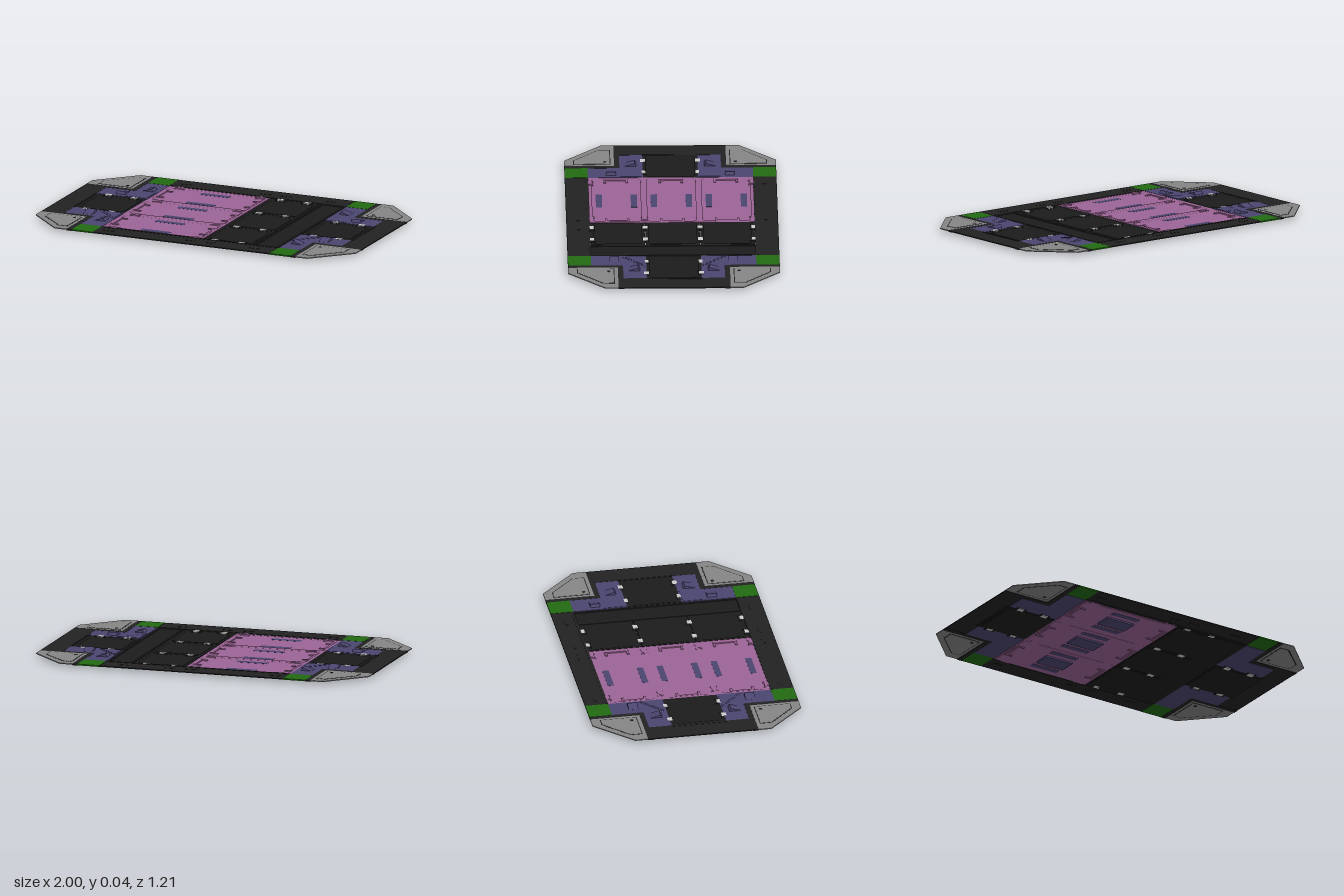
import * as THREE from 'three';

const C = { dark: 0x222222, pan: 0x1c1c1c, pink: 0x9c6496, purple: 0x4b4570, green: 0x226a12, grey: 0x858585, clip: 0xcccccc };
const mats = {};
const mat = (name) => (mats[name] ??= new THREE.MeshStandardMaterial({ color: C[name], flatShading: true }));

export function createModel() {
  const root = new THREE.Group();
  root.name = 'floorPanel';

  const add = (geo, color, name) => {
    const mesh = new THREE.Mesh(geo, mat(color));
    mesh.name = name;
    root.add(mesh);
    return mesh;
  };
  const box = (name, color, x0, x1, y0, y1, z0, z1) => {
    const m = add(new THREE.BoxGeometry(Math.abs(x1 - x0), y1 - y0, Math.abs(z1 - z0)), color, name);
    m.position.set((x0 + x1) / 2, (y0 + y1) / 2, (z0 + z1) / 2);
    return m;
  };
  // Flat slab from an outline of [x, z] points, with optional holes
  const toPts = (pts) => pts.map(([x, z]) => new THREE.Vector2(x, -z));
  const slab = (name, color, pts, y0, y1, holes = []) => {
    const shape = new THREE.Shape(toPts(pts));
    holes.forEach((h) => shape.holes.push(new THREE.Path(toPts(h))));
    const geo = new THREE.ExtrudeGeometry(shape, { depth: y1 - y0, bevelEnabled: false });
    geo.rotateX(-Math.PI / 2).translate(0, y0, 0);
    return add(geo, color, name);
  };
  const rect = (x0, x1, z0, z1) => [[x0, z0], [x1, z0], [x1, z1], [x0, z1]];
  // Rectangle with cut corners
  const cutRect = (x0, x1, z0, z1, c) => [
    [x0 + c, z0], [x1 - c, z0], [x1, z0 + c], [x1, z1 - c],
    [x1 - c, z1], [x0 + c, z1], [x0, z1 - c], [x0, z0 + c]];
  // Shallow tray: rim, sloped inner wall and sunken floor
  const tray = (name, color, x0, x1, z0, z1) => {
    const r = 0.018, s = 0.008;
    slab(name + 'Rim', color, rect(x0, x1, z0, z1), 0.01, 0.02,
      [cutRect(x0 + r, x1 - r, z0 + r, z1 - r, 0.015)]);
    slab(name + 'Step', color, rect(x0 + 0.005, x1 - 0.005, z0 + 0.005, z1 - 0.005), 0.01, 0.0165,
      [cutRect(x0 + r + s, x1 - r - s, z0 + r + s, z1 - r - s, 0.015)]);
    box(name + 'Floor', color, x0 + 0.01, x1 - 0.01, 0.009, 0.014, z0 + 0.01, z1 - 0.01);
  };
  // Snap clip bridging a seam
  const clip = (color, x, z) => {
    box('clip', color, x - 0.019, x + 0.019, 0.009, 0.0225, z - 0.014, z + 0.014);
    for (const s of [-1, 1]) box('clipFoot', color === 'clip' ? 'dark' : color, x + s * 0.019, x + s * 0.03, 0.009, 0.021, z - 0.019, z + 0.019);
  };

  const rows = [-0.314, 0, 0.314], seams = [-0.47, -0.157, 0.157, 0.47];

  for (const z of rows) {
    // Pink bay trays with vents, underside plate and side brackets
    tray('pinkTray', 'pink', -0.552, 0.077, z - 0.157, z + 0.157);
    for (const s of [-1, 1]) box('vent', 'purple', -0.33, -0.15, 0.008, 0.0148, z + s * 0.1 - 0.018, z + s * 0.1 + 0.018);
    box('undersidePlate', 'purple', -0.33, -0.15, 0, 0.009, z - 0.052, z + 0.052);
    for (const [x, d] of [[-0.535, 1], [0.06, -1]]) {
      box('bracketBar', 'pink', x, x + d * 0.014, 0.005, 0.021, z - 0.07, z + 0.07);
      for (const s of [-1, 1]) box('bracketArm', 'pink', x, x + d * 0.045, 0.005, 0.019, z + s * 0.07, z + s * 0.056);
    }
    // Dark bay trays
    tray('darkTray', 'pan', 0.081, 0.392, z - 0.155, z + 0.155);
  }
  for (const z of seams) {
    const zi = Math.abs(z) > 0.4 ? z - Math.sign(z) * 0.008 : z;
    for (const x of [-0.48, 0.025]) clip('pink', x, zi);
    for (const x of [0.15, 0.315]) clip('clip', x, zi);
  }

  // Cross channel beside the dark bays
  box('channelFloor', 'pan', 0.39, 0.55, 0.01, 0.017, -0.47, 0.47);
  for (const x of [0.397, 0.535]) box('channelRib', 'dark', x, x + 0.012, 0.01, 0.021, -0.47, 0.47);

  for (const sz of [-1, 1]) {
    // Long edge beams with small outer tabs
    box('sideBeam', 'dark', -0.552, 0.55, 0.016, 0.022, sz * 0.47, sz * 0.605);
    box('sideBeamLip', 'dark', -0.552, 0.55, 0.012, 0.0235, sz * 0.472, sz * 0.485);
    for (const x of [-0.48, 0.025, 0.15, 0.43]) box('sideTab', 'dark', x - 0.03, x + 0.03, 0.014, 0.0235, sz * 0.525, sz * 0.545);
  }

  for (const sx of [-1, 1]) {
    const X = (pts, sz) => pts.map(([x, z]) => [sx * x, sz * z]);
    // End strip and end tray
    box('endStrip', 'dark', sx * 0.866, sx * 1, 0.016, 0.022, -0.29, 0.29);
    box('endStripLip', 'dark', sx * 0.868, sx * 0.88, 0.012, 0.0235, -0.16, 0.16);
    tray('endTray', 'pan', Math.min(sx * 0.552, sx * 0.866), Math.max(sx * 0.552, sx * 0.866), -0.157, 0.157);

    for (const sz of [-1, 1]) {
      for (const x of [0.63, 0.79]) clip('clip', sx * x, sz * 0.157);

      // Green edge tile
      box('greenTile', 'green', sx * 0.552, sx * 0.685, 0.015, 0.0225, sz * 0.472, sz * 0.605);

      // Purple L-shaped corner brace with diagonal gusset
      slab('cornerBrace', 'purple', X([[0.552, 0.157], [0.866, 0.157], [0.866, 0.29], [0.685, 0.29],
        [0.685, 0.472], [0.552, 0.472]], sz), 0.013, 0.0215);
      slab('gusset', 'purple', X([[0.56, 0.285], [0.56, 0.165], [0.685, 0.165]], sz), 0.013, 0.0235);
      slab('braceRidge', 'purple', X([[0.685, 0.165], [0.7, 0.165], [0.56, 0.3], [0.56, 0.285]], sz), 0.013, 0.0225);

      // Wedge stops: one ramps along z, the other along x
      const wedge = (cx, cz, w, l, alongX) => {
        const geo = new THREE.BoxGeometry(alongX ? l : w, 0.02, alongX ? w : l);
        const p = geo.attributes.position;
        for (let i = 0; i < p.count; i++) {
          if (p.getY(i) < 0) continue;
          const outer = alongX ? p.getX(i) * sx : p.getZ(i) * sz;
          p.setY(i, outer > 0 ? -0.006 : 0.01);
          if (outer < 0) alongX ? p.setX(i, p.getX(i) + sx * 0.012) : p.setZ(i, p.getZ(i) + sz * 0.012);
        }
        geo.computeVertexNormals();
        add(geo, 'purple', 'wedgeStop').position.set(sx * cx, 0.028, sz * cz);
      };
      wedge(0.735, 0.227, 0.056, 0.07, false);
      wedge(0.612, 0.339, 0.056, 0.065, true);

      // Dark edging around the grey corner
      slab('cornerEdging', 'dark', X([[0.685, 0.605], [0.715, 0.605], [0.715, 0.32], [1, 0.32], [1, 0.29], [0.685, 0.29]], sz), 0.014, 0.022);

      // Grey chamfered corner plate with a grooved raised panel and a bolt
      slab('cornerPlate', 'grey', X([[0.715, 0.605], [0.79, 0.605], [1, 0.395], [1, 0.32], [0.715, 0.32]], sz), 0.017, 0.0225);
      slab('cornerGroove', 'dark', X([[0.733, 0.553], [0.79, 0.553], [0.937, 0.41], [0.937, 0.34], [0.733, 0.34]], sz), 0.0162, 0.023);
      slab('cornerInset', 'grey', X([[0.738, 0.548], [0.788, 0.548], [0.932, 0.408], [0.932, 0.345], [0.738, 0.345]], sz), 0.0155, 0.0238);
      const bolt = add(new THREE.CylinderGeometry(0.01, 0.01, 0.01, 12), 'dark', 'cornerBolt');
      bolt.position.set(sx * 0.768, 0.0196, sz * 0.373);
    }
  }
  return root;
}
